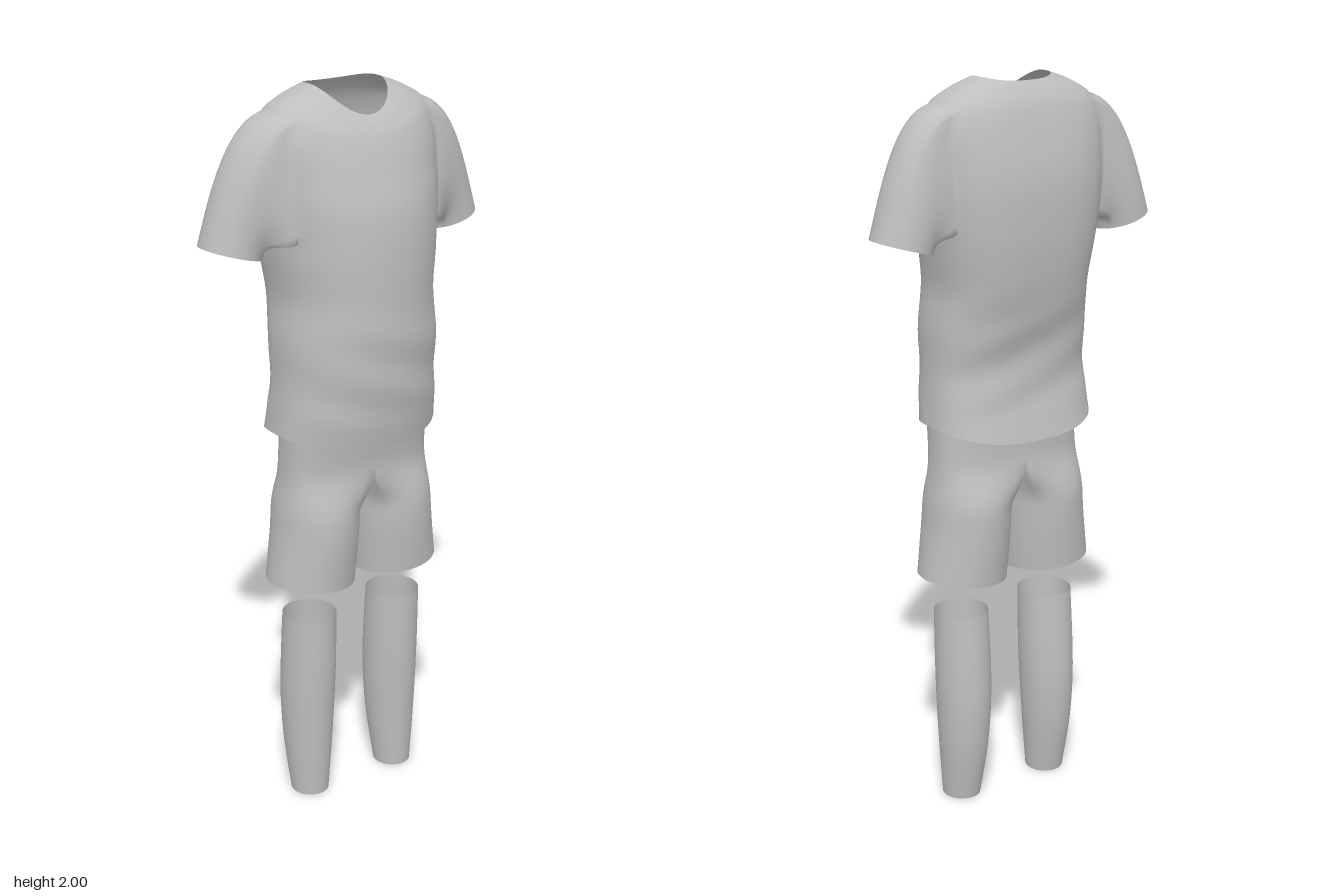
import * as THREE from 'three';
import { mergeVertices } from 'three/addons/utils/BufferGeometryUtils.js';

const { lerp, smoothstep } = THREE.MathUtils;
const cloth = new THREE.MeshStandardMaterial({ color: 0xbebebe, side: THREE.DoubleSide });
cloth.name = 'grey cloth';

// Smoothly interpolates rows of section values, sub steps per key.
function refine(keys, sub) {
  const rows = [];
  const at = (i) => keys[Math.min(keys.length - 1, Math.max(0, i))];
  for (let i = 0; i < keys.length - 1; i++) {
    for (let k = 0; k < sub; k++) {
      const t = k / sub;
      rows.push(at(i).map((p1, c) => {
        const p0 = at(i - 1)[c], p2 = at(i + 1)[c], p3 = at(i + 2)[c];
        return p1 + 0.5 * t * (p2 - p0 + t * (2 * p0 - 5 * p1 + 4 * p2 - p3 + t * (3 * (p1 - p2) + p3 - p0)));
      }));
    }
  }
  rows.push(at(keys.length - 1));
  return rows;
}

// Collects points and quads, then makes one smooth surface.
class Surface {
  constructor() { this.pos = []; this.idx = []; }
  add(x, y, z) { this.pos.push(x, y, z); return this.pos.length / 3 - 1; }
  get(i) { return this.pos.slice(i * 3, i * 3 + 3); }
  quad(a, up, upNext, next, flip = false) {
    if (flip) this.idx.push(a, next, up, next, upNext, up);
    else this.idx.push(a, up, next, next, up, upNext);
  }
  mesh(name) {
    let g = new THREE.BufferGeometry();
    g.setAttribute('position', new THREE.Float32BufferAttribute(this.pos, 3));
    g.setIndex(this.idx);
    g = mergeVertices(g, 1e-5);
    g.computeVertexNormals();
    const m = new THREE.Mesh(g, cloth);
    m.name = name;
    return m;
  }
}

const pow = (v, e) => Math.sign(v) * Math.abs(v) ** e;

function makeShirt() {
  const s = new Surface(), N = 64, K = 5, SUB = 4;
  // y at side, front, back; half width; z at front, back, side
  const rows = refine([
    [1.10, 1.065, 1.06, 0.24, 0.165, -0.17, 0],
    [1.16, 1.15, 1.15, 0.235, 0.18, -0.15, 0],
    [1.25, 1.25, 1.25, 0.228, 0.19, -0.138, 0],
    [1.36, 1.36, 1.36, 0.228, 0.198, -0.155, 0],
    [1.46, 1.46, 1.46, 0.219, 0.197, -0.178, -0.01],
    [1.56, 1.56, 1.56, 0.232, 0.195, -0.191, -0.02],
    [1.63, 1.63, 1.63, 0.24, 0.191, -0.195, -0.03],
    [1.72, 1.71, 1.72, 0.248, 0.18, -0.195, -0.035],
    [1.80, 1.78, 1.79, 0.25, 0.158, -0.187, -0.035],
    [1.88, 1.84, 1.855, 0.248, 0.137, -0.172, -0.035],
    [1.94, 1.88, 1.905, 0.225, 0.12, -0.158, -0.035],
    [1.965, 1.9, 1.94, 0.19, 0.108, -0.145, -0.035],
    [1.985, 1.917, 1.968, 0.148, 0.095, -0.128, -0.035],
    [2.0, 1.93, 1.99, 0.105, 0.08, -0.11, -0.035],
  ], SUB);
  const r0 = 6 * SUB, r1 = 10 * SUB;               // armhole rows
  const id = (i, j) => i * N + ((j + N) % N);

  // Torso rings from hem to neckline, with soft folds near the waist
  rows.forEach(([ys, yf, yb, w, zf, zb, zc]) => {
    for (let j = 0; j < N; j++) {
      const a = (j / N) * Math.PI * 2, c = Math.cos(a), n = Math.sin(a);
      const e = n > 0 ? 0.95 : 0.75;
      const x = w * pow(c, e);
      const y = ys + ((n > 0 ? yf : yb) - ys) * n * n;
      const fold = 0.004 * Math.sin(y * 42 + x * 14) * smoothstep(y, 1.1, 1.2) * (1 - smoothstep(y, 1.3, 1.5));
      s.add(x, y, zc + ((n > 0 ? zf : -zb) + (n > 0 ? -zc : zc)) * pow(n, e) + fold * n);
    }
  });
  const inHole = (i, j) => {
    const d = (c) => { const o = (j - c + N) % N; return o < K || o >= N - K; };
    return i >= r0 && i < r1 && (d(0) || d(N / 2));
  };
  for (let i = 0; i < rows.length - 1; i++) {
    for (let j = 0; j < N; j++) {
      if (!inHole(i, j)) s.quad(id(i, j), id(i + 1, j), id(i + 1, j + 1), id(i, j + 1));
    }
  }

  // Sleeves grow from the armhole edge to an oval cuff
  for (const side of [1, -1]) {
    const loop = [];
    const put = (c, r) => loop.push(id(r, side > 0 ? c : N / 2 - c));
    for (let c = -K; c < K; c++) put(c, r0);
    for (let r = r0; r < r1; r++) put(K, r);
    for (let c = K; c > -K; c--) put(c, r1);
    for (let r = r1; r > r0; r--) put(-K, r);
    const STEPS = 16;
    const lines = loop.map((start) => {
      const [px, y, z] = s.get(start), x = Math.abs(px);
      const ang = Math.atan2((y - 1.78) / 0.15, (z + 0.04) / 0.09);
      const t = (1 + Math.sin(ang)) / 2;
      const cuff = [lerp(0.26, 0.42, t), lerp(1.575, 1.62, t), -0.05 + 0.083 * Math.cos(ang)];
      const p1 = [x + lerp(0.01, 0.11, t), y + lerp(-0.02, -0.025, t), lerp(z, cuff[2], 0.15)];
      const p2 = [cuff[0] + lerp(-0.007, -0.045, t), cuff[1] + lerp(0.03, 0.15, t), cuff[2]];
      const curve = new THREE.CubicBezierCurve3(
        new THREE.Vector3(x, y, z), new THREE.Vector3(...p1), new THREE.Vector3(...p2), new THREE.Vector3(...cuff));
      return curve.getPoints(STEPS).map((p, k) => (k ? s.add(side * p.x, p.y, p.z) : start));
    });
    lines.forEach((line, q) => {
      const next = lines[(q + 1) % lines.length];
      for (let k = 0; k < STEPS; k++) s.quad(line[k], line[k + 1], next[k + 1], next[k], side < 0);
    });
  }
  return s.mesh('shirt');
}

function makeShorts() {
  const s = new Surface(), OUT = 32, IN = 16, M = OUT + IN, CROTCH = 6;
  // y; hip half width; leg centre x, half width; z front, back
  const rows = refine([
    [1.085, 0.215, 0.11, 0.11, 0.125, -0.115],
    [0.99, 0.218, 0.11, 0.11, 0.113, -0.115],
    [0.90, 0.225, 0.117, 0.114, 0.125, -0.134],
    [0.80, 0.235, 0.122, 0.117, 0.127, -0.134],
    [0.66, 0.257, 0.136, 0.122, 0.115, -0.124],
  ], CROTCH);
  const spread = (130 / 180) * Math.PI;
  for (const side of [1, -1]) {
    const base = s.pos.length / 3;
    rows.forEach(([y, w, cx, hw, zf, zb], i) => {
      const b = i <= CROTCH ? 0 : smoothstep(y, 0.85, 0.99) * -1 + 1;
      const hem = smoothstep(0.85 - y, 0, 0.19) * 0.01;
      const mid = (zf + zb) / 2, d = (zf - zb) / 2;
      for (let j = 0; j < M; j++) {
        const outer = j <= OUT;
        const u = outer ? j / OUT : (j - OUT) / IN;
        const phi = outer ? spread * (1 - 2 * u) : -spread - u * 2 * (Math.PI - spread);
        // hip section: outer half oval, or the seam between the legs
        const hx = outer && j > 0 && j < OUT ? w * Math.sin(Math.PI * u) ** 0.8 : 0;
        const hz = outer ? pow(Math.cos(Math.PI * u), 0.8) : 2 * u - 1;
        const dip = outer ? 0 : 0.035 * Math.sin(Math.PI * u) * (1 - b);
        const x = lerp(hx, cx + hw * Math.cos(phi), b);
        s.add(side * x, y - dip + hem * Math.cos(phi), mid + d * lerp(hz, Math.sin(phi), b));
      }
    });
    for (let i = 0; i < rows.length - 1; i++) {
      for (let j = 0; j < (i < CROTCH ? OUT : M); j++) {
        const a = base + i * M, n = (j + 1) % M;
        s.quad(a + j, a + M + j, a + M + n, a + n, side < 0);
      }
    }
  }
  return s.mesh('shorts');
}

function makeSock(side) {
  const s = new Surface(), N = 40;
  // y; centre x; half width; z front, back
  const rows = refine([
    [0, 0.143, 0.052, 0.05, -0.06],
    [0.15, 0.142, 0.066, 0.058, -0.088],
    [0.28, 0.141, 0.073, 0.065, -0.098],
    [0.4, 0.14, 0.075, 0.07, -0.094],
    [0.555, 0.14, 0.074, 0.072, -0.08],
  ], 5);
  rows.forEach(([y, cx, hw, zf, zb]) => {
    for (let j = 0; j < N; j++) {
      const a = (j / N) * Math.PI * 2;
      s.add(side * cx + hw * Math.cos(a), y, (zf + zb) / 2 + ((zf - zb) / 2) * Math.sin(a));
    }
  });
  for (let i = 0; i < rows.length - 1; i++) {
    for (let j = 0; j < N; j++) {
      const a = i * N, n = (j + 1) % N;
      s.quad(a + j, a + N + j, a + N + n, a + n);
    }
  }
  return s.mesh(side > 0 ? 'leftSock' : 'rightSock');
}

export function createModel() {
  const model = new THREE.Group();
  model.name = 'sports outfit';
  model.add(makeShirt(), makeShorts(), makeSock(1), makeSock(-1));
  return model;
}
